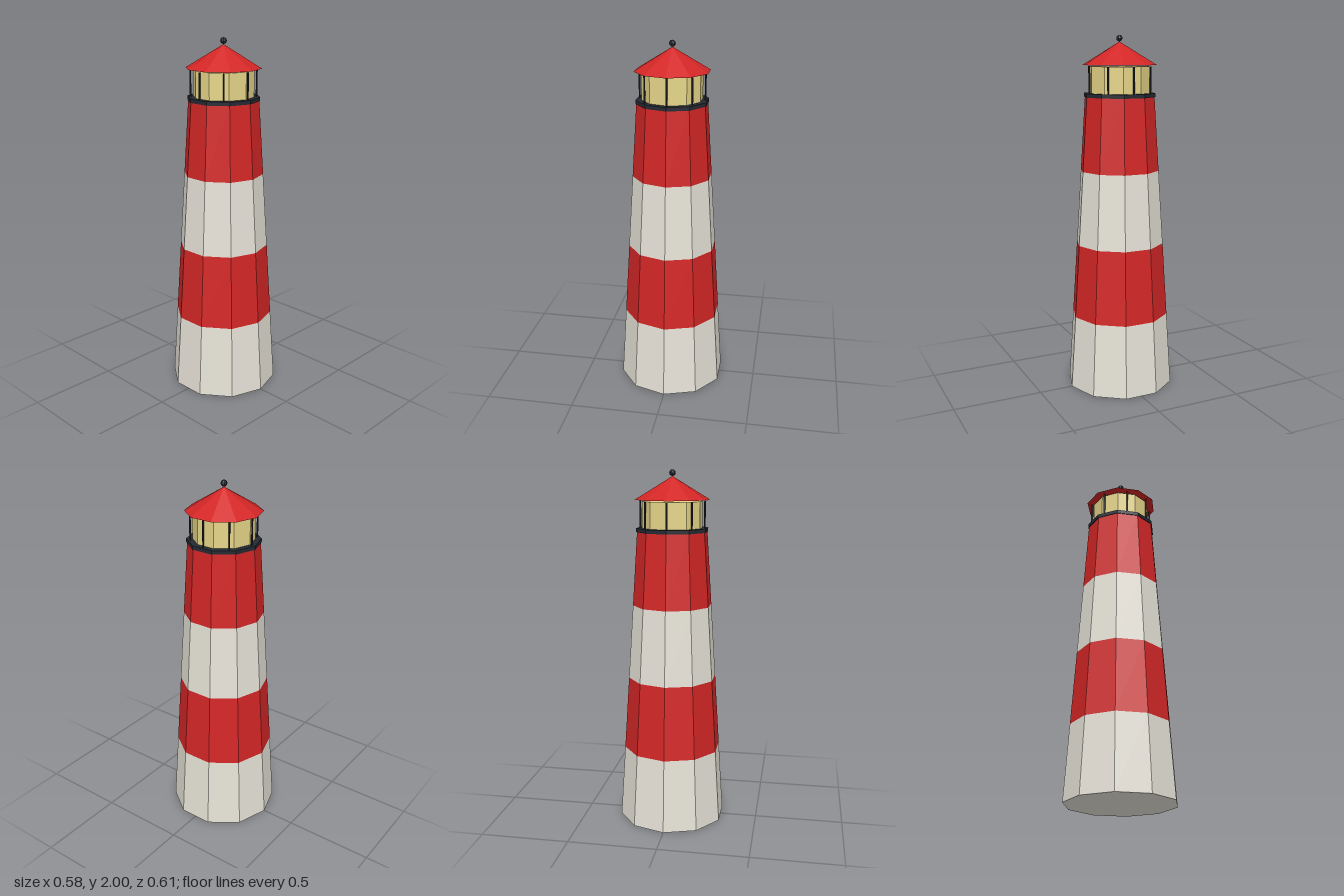
import * as THREE from 'three';

const SIDES = 10;

function material(name, color) {
  const m = new THREE.MeshStandardMaterial({ color, flatShading: true });
  m.name = name;
  return m;
}

export function createModel() {
  const red = material('red paint', 0xd32626);
  const white = material('off-white paint', 0xe6e2d7);
  const dark = material('dark iron', 0x252932);
  const glass = material('lantern yellow', 0xe6d588);

  const model = new THREE.Group();
  model.name = 'lighthouse';

  const add = (name, geometry, mat, x, y, z) => {
    const mesh = new THREE.Mesh(geometry, mat);
    mesh.name = name;
    mesh.position.set(x, y, z);
    model.add(mesh);
    return mesh;
  };

  // Tapered tower in four painted bands
  const bands = 4, towerHeight = 1.675, baseR = 0.306, topR = 0.196;
  const bandH = towerHeight / bands;
  const radiusAt = (i) => baseR + (topR - baseR) * (i / bands);
  for (let i = 0; i < bands; i++) {
    const geo = new THREE.CylinderGeometry(radiusAt(i + 1), radiusAt(i), bandH, SIDES, 1, true);
    add('towerBand' + (i + 1), geo, i % 2 ? red : white, 0, (i + 0.5) * bandH, 0);
  }

  // Underside of the tower, its corners matching the bands
  const base = new THREE.CircleGeometry(baseR, SIDES, Math.PI / 2);
  base.rotateX(Math.PI / 2);
  add('towerBase', base, white, 0, 0, 0);

  // Gallery deck
  add('galleryDeck', new THREE.CylinderGeometry(0.201, 0.201, 0.021, SIDES), dark, 0, 1.675, 0);

  // Lantern room
  add('lanternRoom', new THREE.CylinderGeometry(0.168, 0.168, 0.147, SIDES), glass, 0, 1.757, 0);

  // Eight posts standing around the lantern
  const postCount = 8, postR = 0.18;
  const postGeo = new THREE.CylinderGeometry(0.005, 0.005, 0.147, 6);
  for (let i = 0; i < postCount; i++) {
    const a = (i / postCount) * Math.PI * 2;
    add('galleryPost' + (i + 1), postGeo, dark, Math.sin(a) * postR, 1.757, Math.cos(a) * postR);
  }

  // Roof and its ball finial
  add('roof', new THREE.ConeGeometry(0.209, 0.126, SIDES), red, 0, 1.901, 0);
  add('finial', new THREE.SphereGeometry(0.018, 8, 6), dark, 0, 1.982, 0);

  return model;
}
